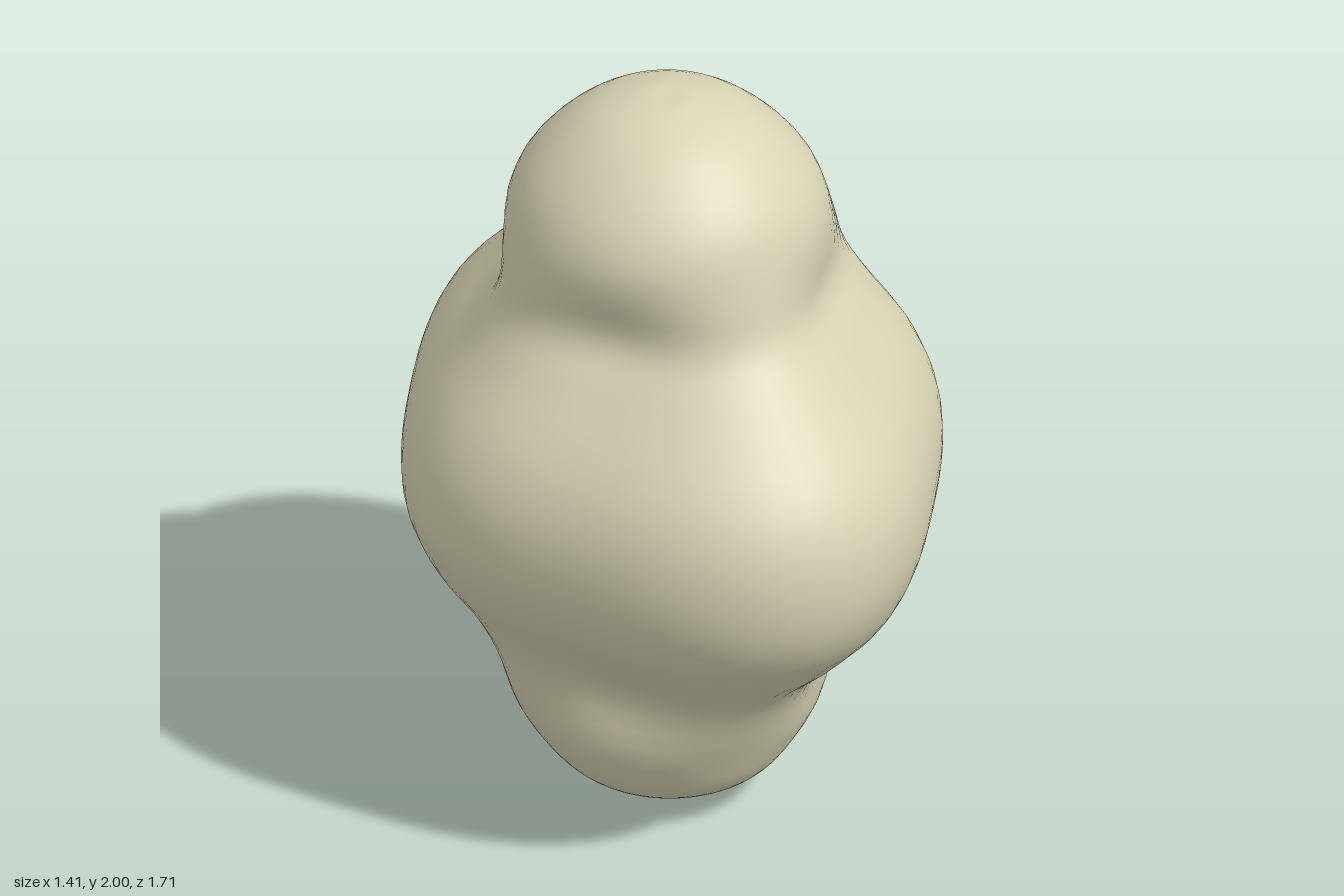
import * as THREE from 'three';

// Half-width in x, height, half-depth in z, from the top down
const PROFILE = [
  [0, 2, 0], [0.08, 1.997, 0.08], [0.225, 1.94, 0.23], [0.37, 1.79, 0.378],
  [0.43, 1.62, 0.44], [0.465, 1.48, 0.495], [0.53, 1.36, 0.615], [0.65, 1.175, 0.79],
  [0.7, 1.03, 0.848], [0.7, 0.87, 0.848], [0.647, 0.73, 0.795], [0.545, 0.58, 0.655],
  [0.475, 0.45, 0.51], [0.39, 0.26, 0.388], [0.295, 0.12, 0.305], [0.22, 0.06, 0.225],
  [0.08, 0.003, 0.08], [0, 0, 0],
];
const RINGS = 72, SEGMENTS = 64;

// Merged-blob body: a top and a bottom lobe joined to four lobes around the middle
function blobGeometry() {
  const curve = new THREE.CatmullRomCurve3(PROFILE.map((p) => new THREE.Vector3(...p)));
  const positions = [], index = [];

  for (let i = 1; i < RINGS; i++) {
    const { x: w, y, z: d } = curve.getPoint(i / RINGS);
    // The middle is pinched on its diagonals; the end lobes are round and slightly off axis
    const middle = 1 - THREE.MathUtils.smoothstep(Math.abs(y - 0.97), 0.45, 0.75);
    const pinch = 0.04 * middle, offset = 0.022 * (1 - middle);
    for (let j = 0; j < SEGMENTS; j++) {
      const a = (j / SEGMENTS) * Math.PI * 2;
      const r = (w + d) / 2 - pinch + ((d - w) / 2) * Math.cos(2 * a) + pinch * Math.cos(4 * a);
      positions.push(r * Math.sin(a) - offset, y, r * Math.cos(a) + offset);
    }
  }
  const top = positions.length / 3, bottom = top + 1;
  positions.push(-0.022, 2, 0.022, -0.022, 0, 0.022);

  for (let j = 0; j < SEGMENTS; j++) {
    const k = (j + 1) % SEGMENTS, last = (RINGS - 2) * SEGMENTS;
    index.push(top, j, k, bottom, last + k, last + j);
    for (let i = 0; i < RINGS - 2; i++) {
      const a = i * SEGMENTS, b = a + SEGMENTS;
      index.push(a + j, b + j, a + k, a + k, b + j, b + k);
    }
  }
  const geometry = new THREE.BufferGeometry();
  geometry.setAttribute('position', new THREE.Float32BufferAttribute(positions, 3));
  geometry.setIndex(index);
  geometry.computeVertexNormals();
  return geometry;
}

export function createModel() {
  const group = new THREE.Group();
  const blob = new THREE.Mesh(blobGeometry(), new THREE.MeshStandardMaterial({ color: 0xd9d4b4 }));
  blob.name = 'blob';
  group.add(blob);
  return group;
}
